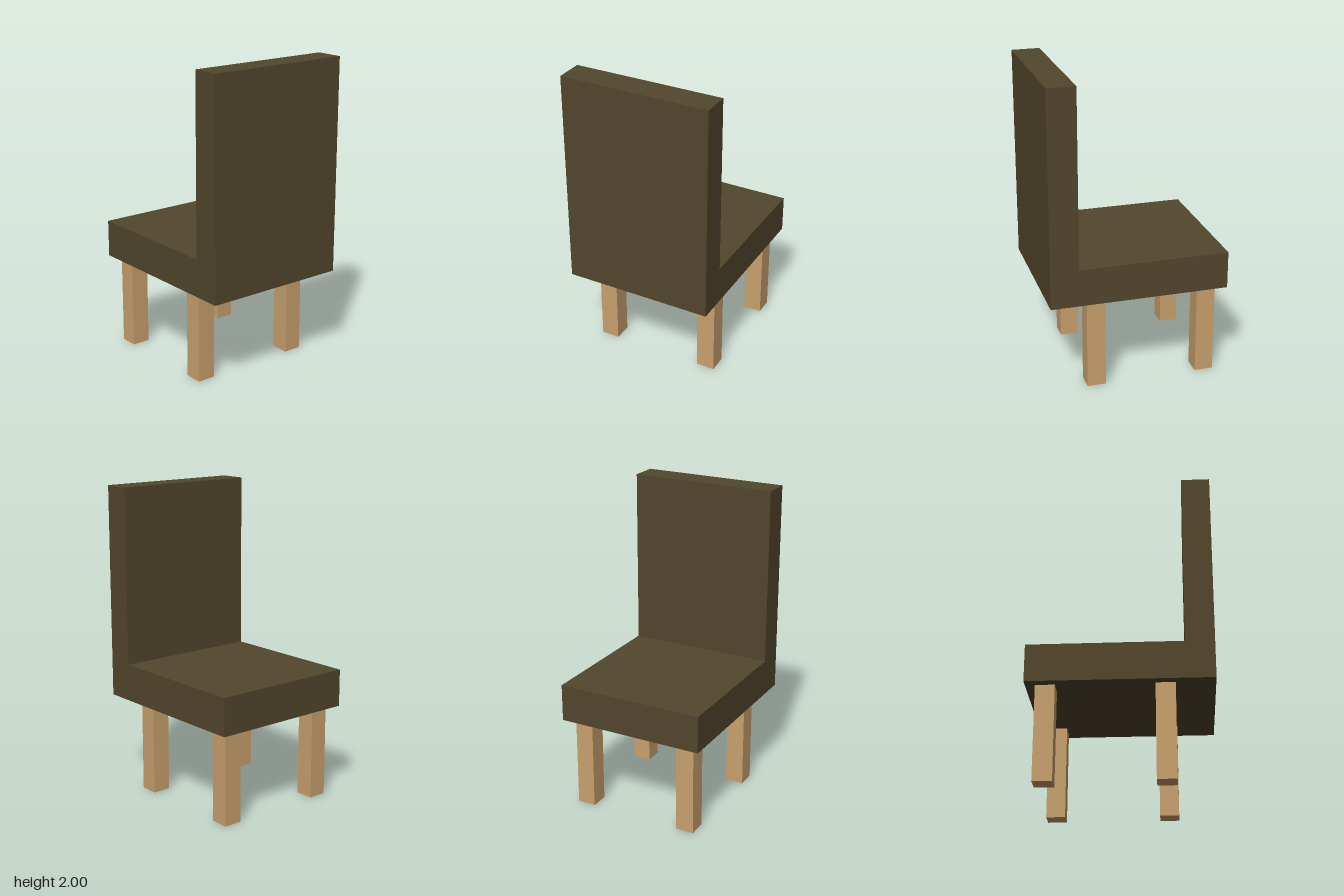
import * as THREE from 'three';

// Everything sits on a grid of 33 units to the full height.
const U = 2 / 33;

export function createModel() {
  const chair = new THREE.Group();
  chair.name = 'chair';

  const upholstery = new THREE.MeshStandardMaterial({ name: 'dark brown upholstery', color: 0x52462c });
  const wood = new THREE.MeshStandardMaterial({ name: 'light wood', color: 0xcaa16e });

  // Seat and backrest: one L-shaped profile (z, y) extruded across the width
  const profile = [[-9.5, 10], [9.5, 10], [9.5, 33], [6.5, 33], [6.5, 14], [-9.5, 14]];
  const shape = new THREE.Shape(profile.map(([z, y]) => new THREE.Vector2(-z * U, y * U)));
  const bodyGeometry = new THREE.ExtrudeGeometry(shape, { depth: 16 * U, bevelEnabled: false });
  bodyGeometry.translate(0, 0, -8 * U);
  bodyGeometry.rotateY(Math.PI / 2); // profile x becomes -z
  const body = new THREE.Mesh(bodyGeometry, upholstery);
  body.name = 'seatAndBackrest';
  chair.add(body);

  // Four square legs
  const legGeometry = new THREE.BoxGeometry(2 * U, 10 * U, 2 * U);
  for (const [side, x] of [['left', 6], ['right', -6]]) {
    for (const [end, z] of [['BackrestLeg', 4.5], ['SeatEdgeLeg', -7.5]]) {
      const leg = new THREE.Mesh(legGeometry, wood);
      leg.name = side + end;
      leg.position.set(x * U, 5 * U, z * U);
      chair.add(leg);
    }
  }

  return chair;
}
